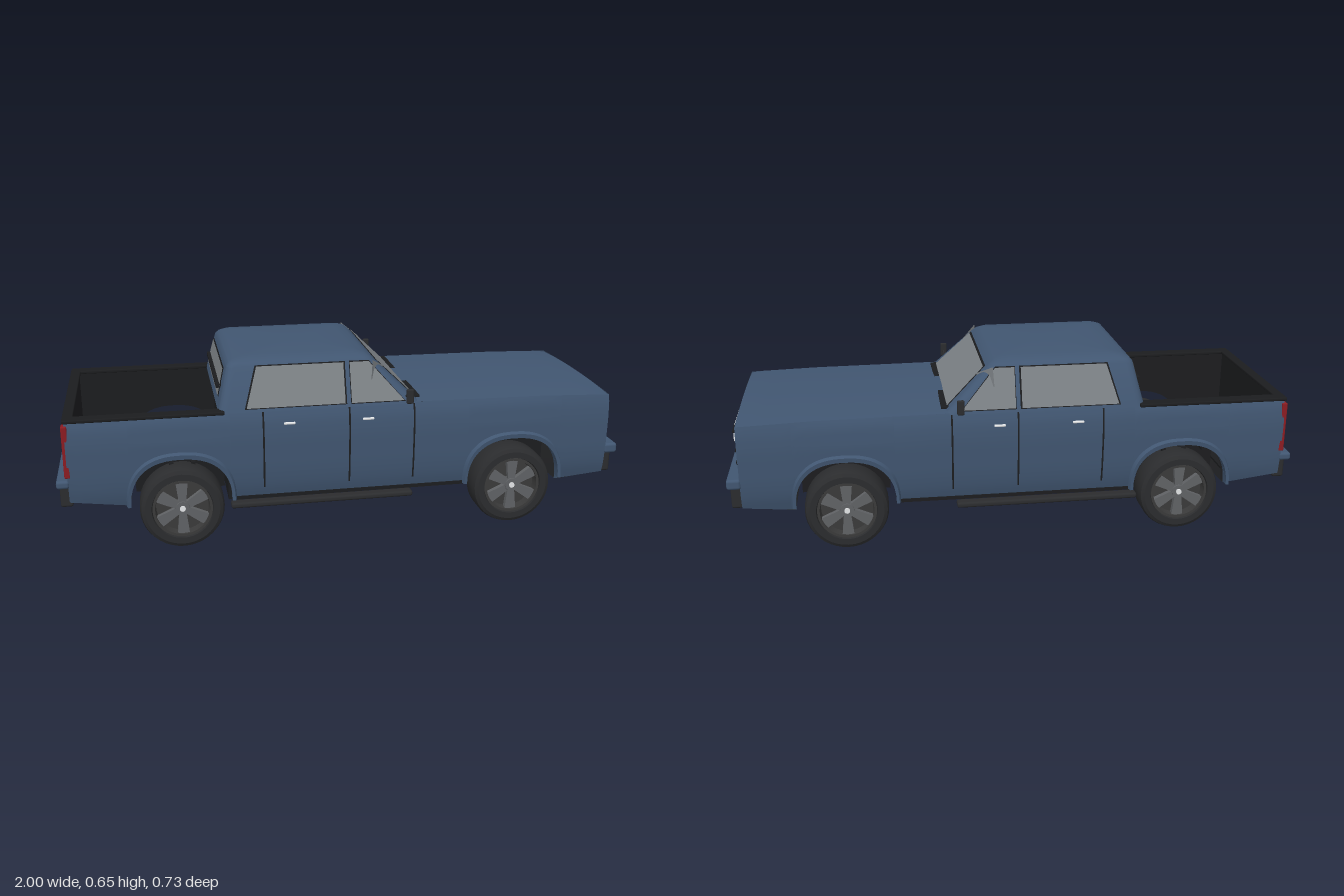
import * as THREE from 'three';
import { toCreasedNormals } from 'three/addons/utils/BufferGeometryUtils.js';
import { RoundedBoxGeometry } from 'three/addons/geometries/RoundedBoxGeometry.js';

const mat = (color) => new THREE.MeshStandardMaterial({ color, side: THREE.DoubleSide });
const PAINT = mat(0x415671), BLACK = mat(0x1c1d1f), TRIM = mat(0x2b2c2e), GLASS = mat(0x7d8286);
const GRILLE = mat(0x3a3a3a), LIGHT = mat(0xe4e6e8), RED = mat(0x8c1c22), RIM = mat(0x606265);
const AXLES = [-0.585, 0.6], WHEEL_R = 0.145;

export function createModel() {
  const model = new THREE.Group();
  const add = (name, geometry, material, parent = model) => {
    const mesh = new THREE.Mesh(geometry, material);
    mesh.name = name;
    parent.add(mesh);
    return mesh;
  };
  // Box given by its limits on each axis, optionally rounded
  const box = (name, material, [x0, x1], [y0, y1], [z0, z1], r = 0) => {
    const s = [x1 - x0, y1 - y0, z1 - z0];
    const g = r ? new RoundedBoxGeometry(...s, 2, r) : new THREE.BoxGeometry(...s);
    g.translate((x0 + x1) / 2, (y0 + y1) / 2, (z0 + z1) / 2);
    return add(name, g, material);
  };
  // Surface over a grid of (i, j) -> [x, y, z]
  const grid = (nu, nv, f) => {
    const pos = [], idx = [];
    for (let i = 0; i <= nu; i++) for (let j = 0; j <= nv; j++) pos.push(...f(i, j));
    for (let i = 0; i < nu; i++) for (let j = 0; j < nv; j++) {
      const a = i * (nv + 1) + j, b = a + nv + 1;
      idx.push(a, b, a + 1, b, b + 1, a + 1);
    }
    const g = new THREE.BufferGeometry();
    g.setAttribute('position', new THREE.Float32BufferAttribute(pos, 3));
    g.setIndex(idx);
    g.computeVertexNormals();
    return g;
  };
  // Flat pane from corner points
  const pane = (name, pts, material) => {
    const idx = [];
    for (let i = 1; i < pts.length - 1; i++) idx.push(0, i, i + 1);
    const g = new THREE.BufferGeometry();
    g.setAttribute('position', new THREE.Float32BufferAttribute(pts.flat(), 3));
    g.setIndex(idx);
    g.computeVertexNormals();
    return add(name, g, material);
  };
  const lerp = THREE.MathUtils.lerp;
  const table = (t, x) => {
    let i = 0;
    while (i < t.length - 2 && x > t[i + 1][0]) i++;
    const [a, b] = [t[i], t[i + 1]];
    return lerp(a[1], b[1], THREE.MathUtils.clamp((x - a[0]) / (b[0] - a[0]), 0, 1));
  };

  // Body outlines: half width by height, upper edge and lower edge by length
  const halfWidth = (y) => table([[0.15, 0.3], [0.2, 0.315], [0.26, 0.322], [0.38, 0.326], [0.44, 0.322], [0.47, 0.315], [0.482, 0.308]], y);
  const topEdge = (x) => table([[-0.96, 0.48], [0.25, 0.478], [0.7, 0.474], [0.955, 0.466]], x);
  const lowEdge = (x) => table([[-0.96, 0.19], [-0.76, 0.16], [0.42, 0.16], [0.785, 0.147], [0.955, 0.165]], x);
  const ARCH_W = 0.172;
  const archY = (t, h) => 0.165 + h * Math.pow(Math.max(0, 1 - Math.abs(t) ** 2.4), 1 / 2.4);

  // Columns along a side; columns inside a wheel arch start at the arch
  const columns = (from, to) => {
    const cols = [];
    const stops = [from, ...AXLES.filter((a) => a > from && a < to), to];
    for (let k = 0; k < stops.length; k++) {
      if (k > 0 && k < stops.length - 1) {
        for (let i = 0; i <= 28; i++) {
          const t = -Math.cos((i / 28) * Math.PI);
          cols.push([stops[k] + t * ARCH_W, archY(t, 0.162)]);
        }
      } else cols.push([stops[k], lowEdge(stops[k])]);
      if (k < stops.length - 1) {
        const a = stops[k] + (k > 0 ? ARCH_W : 0);
        const b = stops[k + 1] - (k + 1 < stops.length - 1 ? ARCH_W : 0);
        for (let i = 0; i <= 6; i++) cols.push([lerp(a, b, i / 6), lowEdge(lerp(a, b, i / 6))]);
      }
    }
    return cols;
  };
  const sidePanel = (from, to, zAt) => {
    const cols = columns(from, to);
    return grid(cols.length - 1, 12, (i, j) => {
      const [x, y0] = cols[i], y = lerp(y0, topEdge(x), j / 12);
      return [x, y, zAt(y)];
    });
  };

  for (const s of [1, -1]) {
    const zr = (a, b) => (s > 0 ? [a, b] : [-b, -a]);
    add('bodySide', sidePanel(-0.96, 0.955, (y) => s * halfWidth(y)), PAINT);
    add('bedInnerWall', sidePanel(-0.955, -0.41, () => s * 0.28), BLACK);
    box('bedRail', BLACK, [-0.965, -0.43], [0.472, 0.484], zr(0.278, 0.326), 0.004);
    box('runningBoard', TRIM, [-0.42, 0.22], [0.145, 0.165], zr(0.325, 0.364), 0.008);
    box('sill', BLACK, [-0.41, 0.425], [0.155, 0.168], zr(0.27, 0.307));

    // Wheel arch lips and the inner plates behind the wheels
    for (const ax of AXLES) {
      const ring = [[0.162, 1, 0.3], [0.162, 1, 0.336], [0.178, 1.06, 0.338], [0.186, 1.09, 0.322]];
      add('wheelArchLip', toCreasedNormals(grid(32, 3, (i, j) => {
        const t = -Math.cos((i / 32) * Math.PI), [h, w, z] = ring[j];
        return [ax + t * ARCH_W * w, archY(t, h), s * z];
      }), 0.6), PAINT);
      box('innerWheelPlate', BLACK, [ax - 0.155, ax + 0.155], [0.17, 0.305], zr(0.2, 0.206));
    }

    // Door seams and handles
    for (const x of [-0.3, 0, 0.23]) {
      add('doorSeam', grid(1, 10, (i, j) => {
        const y = lerp(0.2, 0.477, j / 10);
        return [x + (i - 0.5) * 0.006, y, s * (halfWidth(y) + 0.0015)];
      }), BLACK);
    }
    for (const x of [-0.21, 0.065]) box('doorHandle', LIGHT, [x - 0.02, x + 0.02], [0.427, 0.435], zr(0.322, 0.331), 0.003);

    // Side glass lies on the sloping cab side
    const onSide = (d) => ([x, y]) => [x, y, s * (0.318 - (y - 0.475) * 0.345 + d)];
    const windows = [
      [[-0.355, 0.488], [-0.315, 0.622], [-0.014, 0.622], [-0.014, 0.488]],
      [[0.008, 0.488], [0.008, 0.622], [0.075, 0.622], [0.195, 0.488]],
    ];
    for (const w of windows) {
      const cx = w.reduce((a, p) => a + p[0], 0) / 4;
      pane('windowSeal', w.map(([x, y]) => [x + (x - cx) * 0.035, 0.555 + (y - 0.555) * 1.05]).map(onSide(0.002)), BLACK);
      pane('sideWindow', w.map(onSide(0.004)), GLASS);
    }
    pane('ventPane', [[0.085, 0.63, s * 0.29], [0.08, 0.56, s * 0.296], [0.14, 0.59, s * 0.225]], GLASS);

    // Door mirror
    box('mirror', TRIM, [0.19, 0.215], [0.488, 0.54], zr(0.353, 0.367), 0.005);
    const arm = add('mirrorArm', new THREE.CylinderGeometry(0.004, 0.004, 0.05, 8), TRIM);
    arm.position.set(0.203, 0.505, s * 0.333);
    arm.rotation.x = s * 1.4;

    // Lamps
    box('headlight', LIGHT, [0.95, 0.966], [0.4, 0.431], zr(0.237, 0.275), 0.004);
    box('headlightBrow', BLACK, [0.95, 0.969], [0.433, 0.439], zr(0.19, 0.28));
    box('markerLamp', LIGHT, [0.95, 0.97], [0.402, 0.427], zr(0.196, 0.206));
    box('tailLight', RED, [-0.97, -0.95], [0.28, 0.462], zr(0.288, 0.324), 0.004);
  }

  // Hood with a light crown, rolled down at the nose
  add('hood', grid(16, 16, (i, j) => {
    const x = lerp(0.22, 0.955, i / 16), t = j / 8 - 1;
    return [x, topEdge(x) + 0.012 * (1 - t * t) - (i === 16 ? 0.004 : 0), t * halfWidth(topEdge(x))];
  }), PAINT);
  // Nose and tailgate close the ends
  const endPanel = (x, low) => grid(10, 10, (i, j) => {
    const t = i / 5 - 1, y = lerp(low, topEdge(x) + (x > 0 ? 0.008 * (1 - t * t) : 0), j / 10);
    return [x, y, t * halfWidth(y)];
  });
  add('nose', endPanel(0.955, 0.165), PAINT);
  add('tailgate', endPanel(-0.96, 0.19), PAINT);
  box('tailgateInner', BLACK, [-0.955, -0.935], [0.2, 0.476], [-0.28, 0.28]);
  box('tailgateRail', BLACK, [-0.966, -0.93], [0.472, 0.484], [-0.31, 0.31], 0.004);

  // Cab: stacked rounded outlines [y, back, front, half width, corner]
  const rings = [
    [0.475, -0.45, 0.25, 0.318, 0.03], [0.62, -0.415, 0.1, 0.268, 0.03], [0.632, -0.405, 0.087, 0.258, 0.03],
    [0.641, -0.385, 0.07, 0.24, 0.03], [0.647, -0.33, 0.03, 0.19, 0.03], [0.652, -0.2, -0.08, 0.06, 0.03], [0.652, -0.15, -0.15, 0, 0],
  ];
  add('cab', toCreasedNormals(grid(rings.length - 1, 20, (i, j) => {
    const [y, back, front, w, r] = rings[i], k = j % 20, corner = Math.floor(k / 5);
    const a = (corner + (k % 5) / 4) * Math.PI / 2;
    const cx = corner === 0 || corner === 3 ? front - r : back + r;
    const cz = corner < 2 ? w - r : r - w;
    return [cx + r * Math.cos(a), y, cz + r * Math.sin(a)];
  }), 0.5), PAINT);

  // Windshield and rear window lie on the cab's sloping ends
  const endGlass = (name, xAt, y0, y1, w0, w1, d) => {
    const frame = (e, k) => [[y0 - e, -w0 - e], [y0 - e, w0 + e], [y1 + e, w1 + e], [y1 + e, -w1 - e]].map(([y, z]) => [xAt(y) + k, y, z]);
    pane(name + 'Seal', frame(0.004, d), BLACK);
    pane(name, frame(0, d * 2), GLASS);
  };
  endGlass('windshield', (y) => 0.25 - (y - 0.475) * 1.034, 0.487, 0.615, 0.256, 0.226, 0.003);
  endGlass('rearWindow', (y) => -0.45 + (y - 0.475) * 0.241, 0.515, 0.605, 0.235, 0.215, -0.003);
  box('rearWindowBar', BLACK, [-0.45, -0.43], [0.54, 0.552], [-0.225, 0.225]);
  box('cowl', BLACK, [0.235, 0.262], [0.478, 0.489], [-0.27, 0.27], 0.003);

  // Grille
  box('grille', GRILLE, [0.95, 0.96], [0.275, 0.436], [-0.235, 0.235]);
  for (const y of [0.303, 0.348, 0.393]) box('grilleBar', BLACK, [0.955, 0.972], [y - 0.007, y + 0.007], [-0.23, 0.23], 0.004);
  box('grilleTrim', LIGHT, [0.95, 0.964], [0.443, 0.449], [-0.24, 0.24]);

  // Bumpers
  box('frontBumper', PAINT, [0.95, 1], [0.242, 0.279], [-0.326, 0.326], 0.01);
  box('frontBumperLower', TRIM, [0.945, 0.992], [0.16, 0.238], [-0.292, 0.292], 0.008);
  const plate = box('skidPlate', LIGHT, [-0.025, 0.025], [-0.013, 0.013], [-0.11, 0.11], 0.005);
  plate.position.set(0.96, 0.145, 0);
  plate.rotation.z = -0.15;
  box('rearBumper', PAINT, [-1, -0.955], [0.243, 0.272], [-0.326, 0.326], 0.01);
  box('rearBumperLower', TRIM, [-0.992, -0.95], [0.165, 0.242], [-0.292, 0.292], 0.008);

  // Underside, bulkheads and bed floor
  box('cabFloor', BLACK, [-0.412, 0.428], [0.157, 0.167], [-0.3, 0.3]);
  box('firewall', BLACK, [0.418, 0.428], [0.16, 0.47], [-0.31, 0.31]);
  box('bedBulkhead', BLACK, [-0.425, -0.412], [0.16, 0.478], [-0.31, 0.31]);
  const pan = (x0, x1) => grid(4, 8, (i, j) => {
    const x = lerp(x0, x1, i / 4), t = j / 4 - 1;
    return [x, lowEdge(x) - 0.008 * (1 - t * t), t * 0.302];
  });
  add('frontPan', pan(0.775, 0.955), BLACK);
  add('rearPan', pan(-0.96, -0.757), BLACK);
  box('bedFloor', BLACK, [-0.95, -0.757], [0.2, 0.208], [-0.28, 0.28]);
  for (const x of [-0.69, -0.615, -0.54]) box('bedCrossbar', BLACK, [x - 0.008, x + 0.008], [0.275, 0.29], [-0.265, 0.265]);

  // Wheels, built along y and turned to face sideways
  const profile = (pts) => new THREE.LatheGeometry(pts.map(([r, y]) => new THREE.Vector2(r, y)), 40);
  const tireShape = toCreasedNormals(profile([[0.09, 0], [0.128, 0], [0.14, 0.007], [WHEEL_R, 0.02], [WHEEL_R, 0.085],
    [0.14, 0.099], [0.128, 0.106], [0.106, 0.106], [0.102, 0.092]]), 0.5);
  const rimShape = toCreasedNormals(profile([[0, 0.07], [0.09, 0.07], [0.094, 0.1], [0.103, 0.1], [0.103, 0.092]]), 0.5);
  const spoke = new THREE.Shape([[-0.012, 0.015], [0.012, 0.015], [0.021, 0.096], [-0.021, 0.096]].map((p) => new THREE.Vector2(...p)));
  const spokeShape = new THREE.ExtrudeGeometry(spoke, { depth: 0.018, bevelEnabled: false });
  for (const ax of AXLES) for (const s of [1, -1]) {
    const wheel = new THREE.Group();
    wheel.name = 'wheel';
    add('tire', tireShape, TRIM, wheel).rotation.x = Math.PI / 2;
    add('rim', rimShape, GRILLE, wheel).rotation.x = Math.PI / 2;
    add('wheelBack', new THREE.CircleGeometry(0.092, 32), BLACK, wheel).position.z = 0.012;
    for (let i = 0; i < 6; i++) {
      const sp = add('spoke', spokeShape, RIM, wheel);
      sp.position.z = 0.076;
      sp.rotation.z = (i * Math.PI) / 3;
    }
    const hub = add('hub', new THREE.CylinderGeometry(0.024, 0.028, 0.03, 20), RIM, wheel);
    const cap = add('hubCap', new THREE.CylinderGeometry(0.01, 0.01, 0.006, 16), LIGHT, wheel);
    hub.rotation.x = cap.rotation.x = Math.PI / 2;
    hub.position.z = 0.083;
    cap.position.z = 0.1;
    wheel.position.set(ax, WHEEL_R, s * 0.229);
    if (s < 0) wheel.rotation.y = Math.PI;
    model.add(wheel);
  }
  return model;
}
